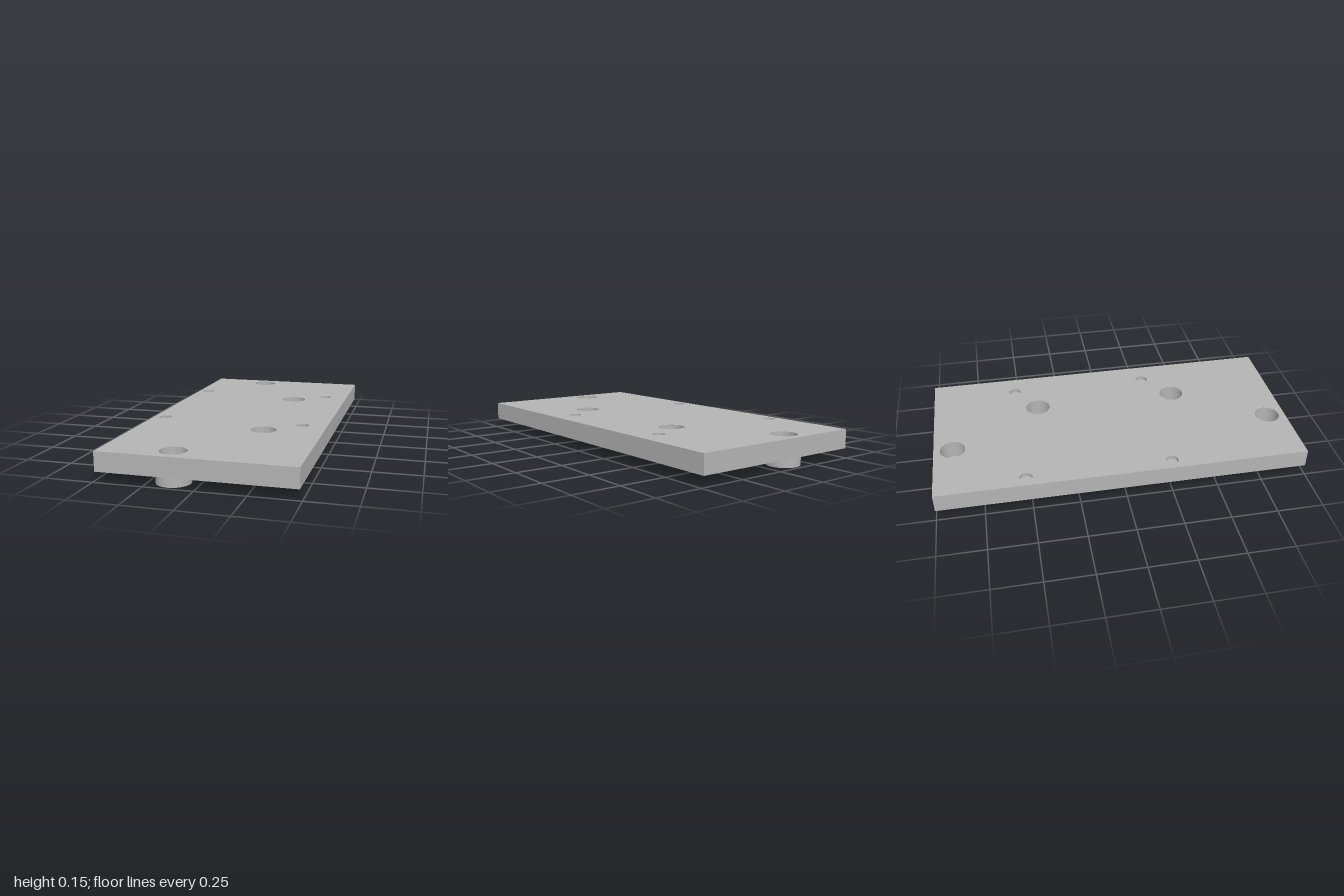
import * as THREE from 'three';
import { toCreasedNormals } from 'three/addons/utils/BufferGeometryUtils.js';

const HALF_W = 0.488, HALF_L = 1;          // plate half width (x) and half length (z)
const TOP = 0.153, BOTTOM = 0.053;         // plate faces
const BOSS_R = 0.086, BORE_R = 0.068, HOLE_R = 0.036;
const PIN_R = 0.034, PIN_FLOOR = 0.131;    // shallow blind holes
const SEGMENTS = 48;

const bosses = [[-0.132, -0.897], [0.178, -0.402], [0.178, 0.402], [-0.132, 0.897]];
const pins = [[-0.425, -0.523], [0.356, -0.523], [-0.425, 0.257], [0.356, 0.257]];

export function createModel() {
  const metal = new THREE.MeshStandardMaterial({ color: 0xb4b4b4 });
  metal.name = 'grey metal';

  const group = new THREE.Group();
  group.name = 'mountingPlate';
  const add = (name, geometry, x = 0, y = 0, z = 0) => {
    const mesh = new THREE.Mesh(geometry, metal);
    mesh.name = name;
    mesh.position.set(x, y, z);
    group.add(mesh);
    return mesh;
  };

  // Rectangular face with round openings, facing up (side 1) or down (side -1)
  const face = (side, holes) => {
    const shape = new THREE.Shape();
    shape.moveTo(-HALF_W, -HALF_L).lineTo(HALF_W, -HALF_L);
    shape.lineTo(HALF_W, HALF_L).lineTo(-HALF_W, HALF_L).closePath();
    for (const [x, z, r] of holes) {
      const path = new THREE.Path();
      path.absarc(x, -side * z, r, 0, Math.PI * 2, true);
      shape.holes.push(path);
    }
    return new THREE.ShapeGeometry(shape, SEGMENTS).rotateX(-side * Math.PI / 2);
  };
  const openings = (list, r) => list.map(([x, z]) => [x, z, r]);
  add('plateTop', face(1, [...openings(bosses, BORE_R), ...openings(pins, PIN_R)]), 0, TOP);
  add('plateBottom', face(-1, openings(bosses, BOSS_R)), 0, BOTTOM);

  // Plate edges
  const height = TOP - BOTTOM;
  ['plateFrontEdge', 'plateLeftEdge', 'plateBackEdge', 'plateRightEdge'].forEach((name, i) => {
    const [width, distance] = i % 2 ? [HALF_L * 2, HALF_W] : [HALF_W * 2, HALF_L];
    const edge = new THREE.PlaneGeometry(width, height).translate(0, 0, distance);
    add(name, edge.rotateY(i * Math.PI / 2), 0, (TOP + BOTTOM) / 2);
  });

  const lathe = (profile) => toCreasedNormals(
    new THREE.LatheGeometry(profile.map(([r, y]) => new THREE.Vector2(r, y)), SEGMENTS), 0.6);

  // Round feet with a counterbored through hole
  const bossGeometry = lathe([
    [BORE_R, TOP], [BORE_R, BOTTOM], [HOLE_R, BOTTOM],
    [HOLE_R, 0], [BOSS_R, 0], [BOSS_R, BOTTOM],
  ]);
  bosses.forEach(([x, z], i) => add(`counterboredFoot${i + 1}`, bossGeometry, x, 0, z));

  // Shallow blind holes
  const pinGeometry = lathe([[PIN_R, TOP], [PIN_R, PIN_FLOOR], [0, PIN_FLOOR]]);
  pins.forEach(([x, z], i) => add(`blindHole${i + 1}`, pinGeometry, x, 0, z));

  return group;
}
